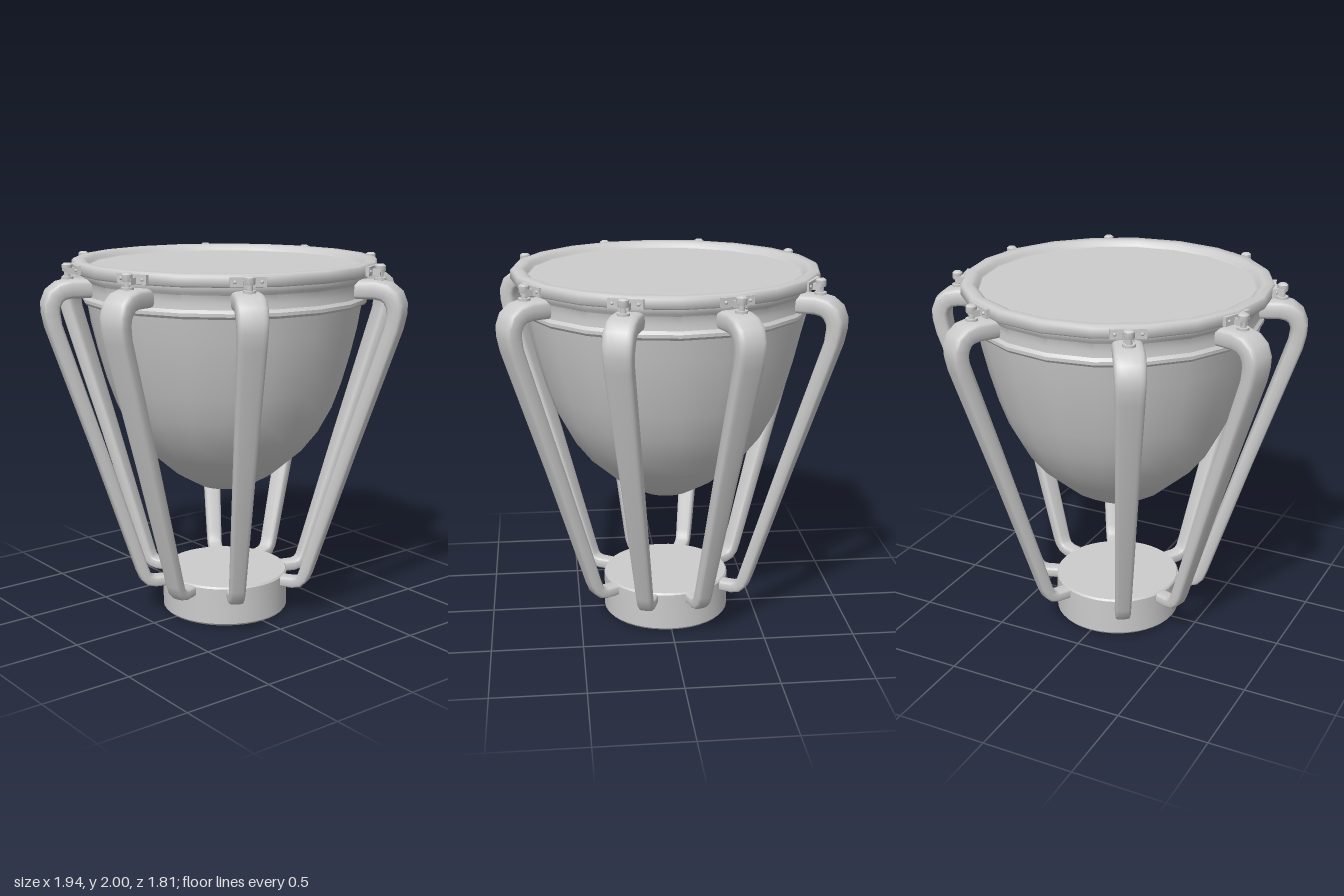
import * as THREE from 'three';
import { toCreasedNormals } from 'three/addons/utils/BufferGeometryUtils.js';

const material = new THREE.MeshStandardMaterial({ color: 0xcccccc });

function add(parent, name, geometry, x = 0, y = 0, z = 0) {
  const mesh = new THREE.Mesh(geometry, material);
  mesh.name = name;
  mesh.position.set(x, y, z);
  parent.add(mesh);
  return mesh;
}

// Turned part from [radius, height] pairs, listed from the bottom outside to the top
function turned(points, segments, crease = 0.6) {
  const profile = points.map(([r, y]) => new THREE.Vector2(r, y));
  return toCreasedNormals(new THREE.LatheGeometry(profile, segments), crease);
}

// Rounded-rectangle bar swept along stations of [radius, height, thickness, width]
function sweptBar(stations) {
  const sides = 20, positions = [], index = [];
  const round = (v) => Math.sign(v) * Math.pow(Math.abs(v), 0.45);
  stations.forEach(([r, y, thickness, width], i) => {
    const a = stations[Math.max(i - 1, 0)];
    const b = stations[Math.min(i + 1, stations.length - 1)];
    const t = new THREE.Vector2(b[0] - a[0], b[1] - a[1]).normalize();
    for (let j = 0; j < sides; j++) {
      const angle = (j / sides) * Math.PI * 2;
      const n = round(Math.cos(angle)) * thickness / 2;
      positions.push(r - t.y * n, y + t.x * n, round(Math.sin(angle)) * width / 2);
    }
  });
  const last = (stations.length - 1) * sides;
  for (let i = 0; i < last; i += sides) {
    for (let j = 0; j < sides; j++) {
      const k = (j + 1) % sides;
      index.push(i + j, i + k, i + sides + j, i + k, i + sides + k, i + sides + j);
    }
  }
  for (let j = 1; j < sides - 1; j++) {
    index.push(0, j + 1, j, last, last + j, last + j + 1);
  }
  const geometry = new THREE.BufferGeometry();
  geometry.setAttribute('position', new THREE.Float32BufferAttribute(positions, 3));
  geometry.setIndex(index);
  return toCreasedNormals(geometry, 0.8);
}

export function createModel() {
  const model = new THREE.Group();
  model.name = 'kettledrum';

  // Round pedestal
  add(model, 'base', turned([
    [0, 0], [0.345, 0], [0.355, 0.012], [0.355, 0.215], [0.347, 0.225], [0, 0.225],
  ], 40));

  // Kettle with a small flat bottom
  add(model, 'bowl', turned([
    [0, 0.73], [0.15, 0.73], [0.28, 0.805], [0.44, 0.945], [0.53, 1.06], [0.605, 1.2],
    [0.655, 1.34], [0.70, 1.5], [0.735, 1.65], [0.758, 1.79],
  ], 20));

  // Beaded collar between the kettle and the hoop
  add(model, 'collar', turned([
    [0.745, 1.77], [0.772, 1.772], [0.782, 1.785], [0.782, 1.802], [0.768, 1.818],
    [0.765, 1.85], [0.768, 1.89], [0.78, 1.905], [0.785, 1.925], [0.785, 1.945],
  ], 20));

  // Hoop, rounded on top, dropping inside to the skin
  add(model, 'hoop', turned([
    [0.77, 1.935], [0.822, 1.935], [0.83, 1.943], [0.83, 1.987], [0.82, 1.998],
    [0.775, 1.998], [0.755, 1.99], [0.745, 1.972], [0.733, 1.962],
  ], 20, 0.9));
  add(model, 'drumSkin', turned([[0.75, 1.964], [0, 1.964]], 20));

  const strutGeometry = sweptBar([
    [0.72, 1.863, 0.1, 0.15], [0.86, 1.866, 0.1, 0.155], [0.91, 1.856, 0.1, 0.157],
    [0.945, 1.83, 0.1, 0.157], [0.965, 1.785, 0.095, 0.155], [0.965, 1.74, 0.09, 0.15],
    [0.953, 1.67, 0.085, 0.145], [0.72, 0.97, 0.075, 0.115], [0.495, 0.27, 0.068, 0.088],
    [0.478, 0.225, 0.066, 0.086], [0.455, 0.2, 0.064, 0.084], [0.42, 0.19, 0.062, 0.082],
    [0.32, 0.19, 0.06, 0.08],
  ]);
  const shaft = new THREE.CylinderGeometry(0.016, 0.016, 0.09, 12);
  const washer = new THREE.CylinderGeometry(0.032, 0.032, 0.012, 16);
  const boltHead = turned([
    [0, 0], [0.026, 0], [0.028, 0.006], [0.028, 0.034], [0.018, 0.042], [0, 0.042],
  ], 16);
  const plate = new THREE.BoxGeometry(0.02, 0.048, 0.18);
  const lug = new THREE.BoxGeometry(0.05, 0.034, 0.056);
  const rivet = new THREE.SphereGeometry(0.009, 8, 6);

  // Eight struts, each with its tension bolt and hoop clamp
  for (const degrees of [19, 60, 120, 161, 199, 240, 300, 341]) {
    const unit = new THREE.Group();
    unit.name = 'strutAssembly';
    unit.rotation.y = THREE.MathUtils.degToRad(degrees);
    add(unit, 'strut', strutGeometry);
    add(unit, 'clampPlate', plate, 0.826, 1.964);
    add(unit, 'clampLug', lug, 0.852, 1.956);
    add(unit, 'boltShaft', shaft, 0.87, 1.935);
    add(unit, 'boltWasher', washer, 0.87, 1.922);
    add(unit, 'boltHead', boltHead, 0.87, 1.956);
    for (const side of [-1, 1]) {
      add(unit, 'clampRivet', rivet, 0.836, 1.964, side * 0.066);
    }
    model.add(unit);
  }
  return model;
}
